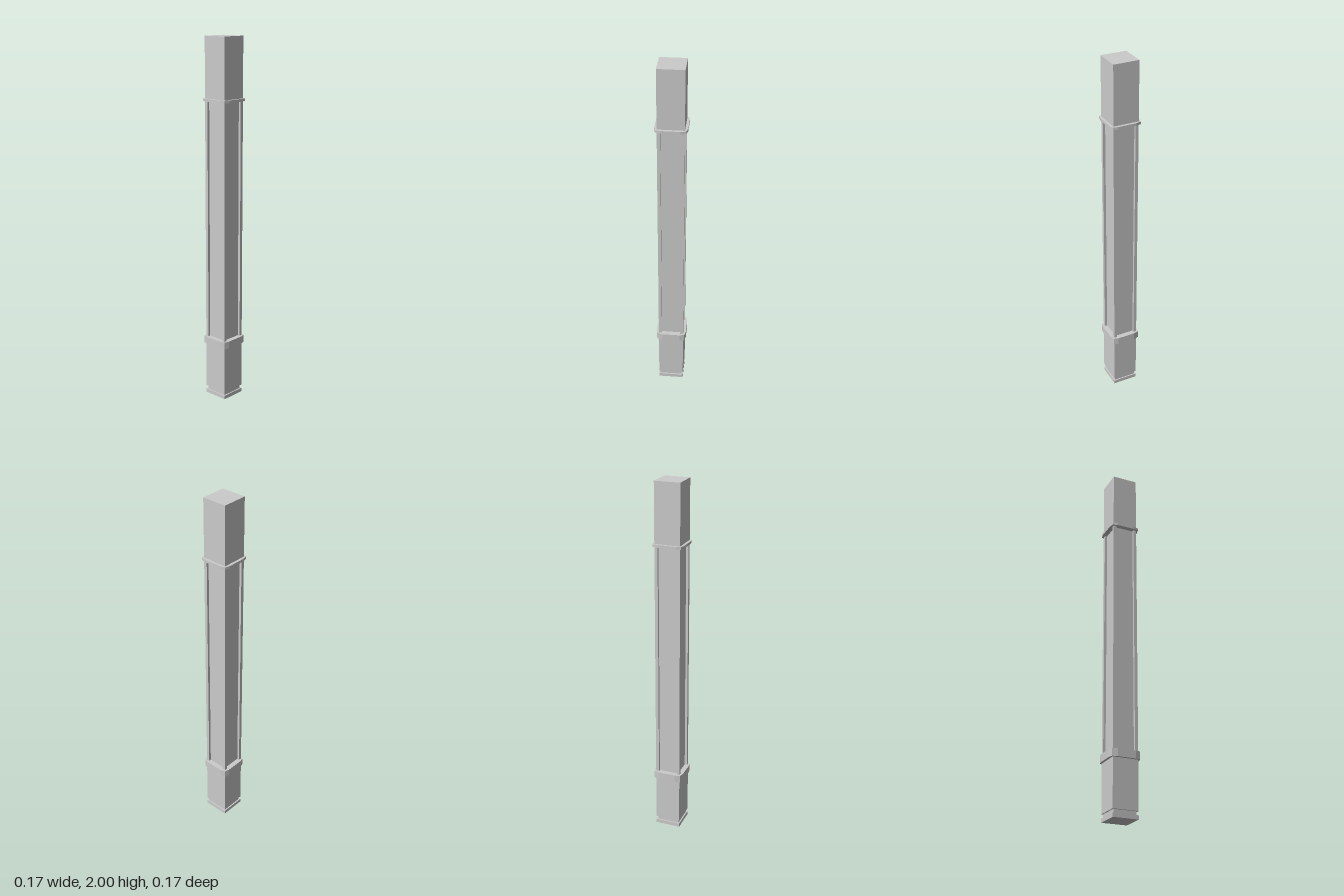
import * as THREE from 'three';

const material = new THREE.MeshStandardMaterial({ color: 0xcccccc, flatShading: true });

// Extrudes a plan outline upward from y0 to y1
function prism(name, points, y0, y1) {
  const shape = new THREE.Shape(points.map(([x, z]) => new THREE.Vector2(x, z)));
  const geometry = new THREE.ExtrudeGeometry(shape, { depth: y1 - y0, bevelEnabled: false });
  geometry.rotateX(-Math.PI / 2).translate(0, y0, 0);
  const mesh = new THREE.Mesh(geometry, material);
  mesh.name = name;
  return mesh;
}

// Repeats the points of one quarter around the axis
function fourfold(quarter) {
  const points = [];
  let turn = quarter;
  for (let i = 0; i < 4; i++) {
    points.push(...turn);
    turn = turn.map(([x, z]) => [-z, x]);
  }
  return points;
}

const square = (half) => fourfold([[half, half]]);

export function createModel() {
  const group = new THREE.Group();
  group.name = 'squarePost';

  const half = 0.0705;  // half width of the post
  const panel = 0.053;  // half width of the recessed panels
  const floor = 0.057;  // distance of the panel faces from the axis

  // Collars have slightly bowed sides
  const collar = fourfold([[0.085, 0.05], [0.078, 0.078], [0.05, 0.085]]);
  // Shaft with a recessed panel on each side and full corner strips
  const shaft = fourfold([
    [floor, panel], [half, panel], [half, half], [panel, half], [panel, floor],
  ]);

  group.add(
    prism('footPlate', square(half), 0, 0.021),
    prism('footGroove', square(0.063), 0.021, 0.042),
    prism('lowerBlock', square(half), 0.042, 0.305),
    prism('lowerCollar', collar, 0.305, 0.347),
    prism('panelledShaft', shaft, 0.347, 1.664),
    prism('upperCollar', collar, 1.664, 1.678),
    prism('upperBlock', square(half), 1.678, 2),
  );
  return group;
}
